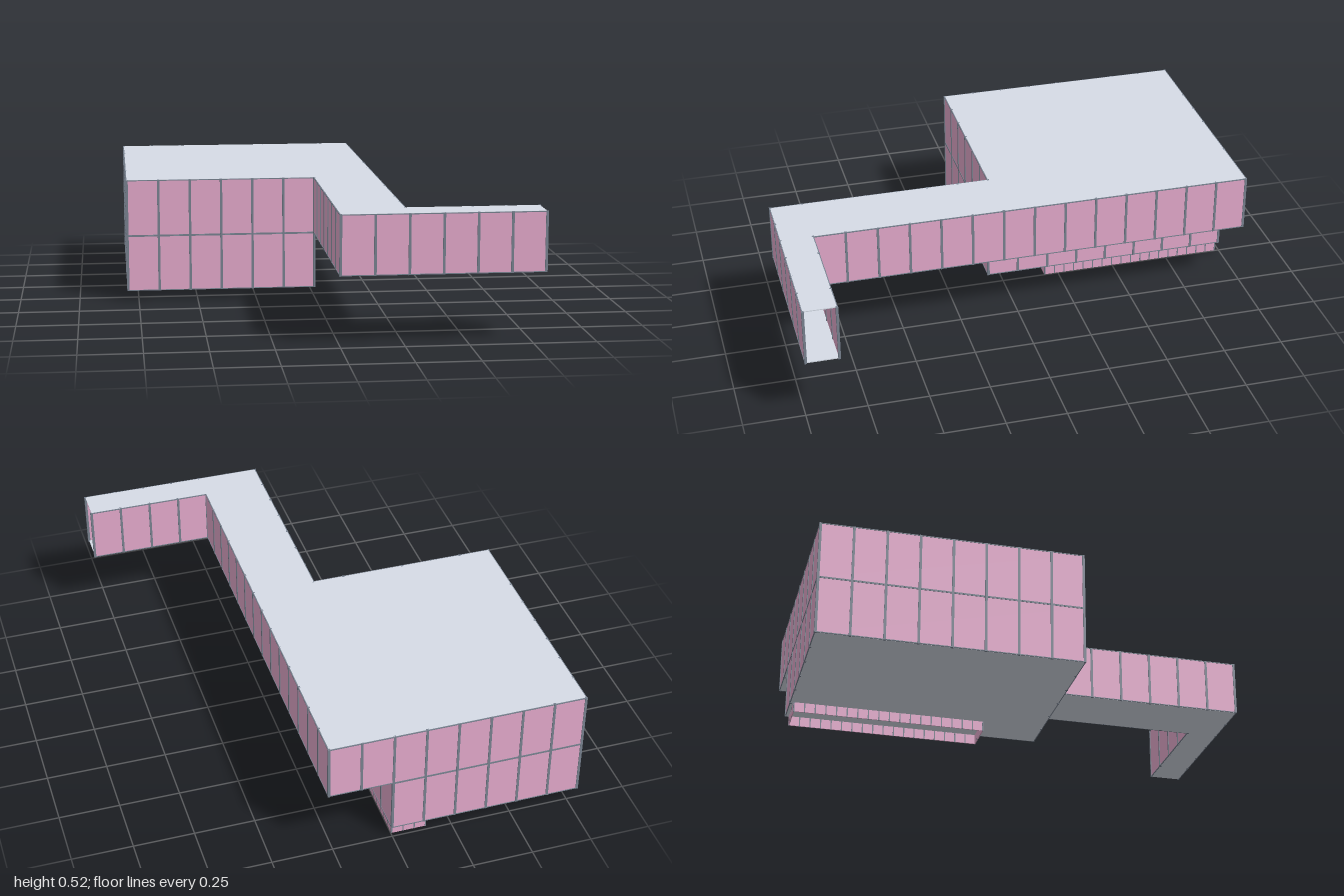
import * as THREE from 'three';

const S = 0.1324; // width of one wall panel
const BASE = 0.042, MID = 0.279, TOP = 0.517;

const mat = (name, color) => {
  const m = new THREE.MeshStandardMaterial({ color });
  m.name = name;
  return m;
};

export function createModel() {
  const pink = mat('pink panel', 0xebafd2);
  const slate = mat('slate frame', 0x7a8492);
  const grey = mat('grey slab', 0xd6dce7);
  const model = new THREE.Group();
  model.name = 'building';

  const box = (parent, name, material, size, pos) => {
    const mesh = new THREE.Mesh(new THREE.BoxGeometry(...size), material);
    mesh.name = name;
    mesh.position.set(...pos);
    parent.add(mesh);
  };

  // Straight wall of n panels between two plan points, with mullions and optional rails
  function wall(name, [x1, z1], [x2, z2], y0, y1, n, frame, rail) {
    const g = new THREE.Group();
    g.name = name;
    const len = Math.hypot(x2 - x1, z2 - z1), h = y1 - y0;
    box(g, 'panels', pink, [len, h - 0.001, 0.004], [0, h / 2, 0]);
    for (let i = 0; i <= n; i++) {
      box(g, 'mullion', slate, [frame, h + 0.001, frame], [(i / n - 0.5) * len, h / 2, 0]);
    }
    if (rail) {
      for (const y of [rail / 2, h - rail / 2]) {
        box(g, 'rail', slate, [len, rail - 0.0005, frame * 0.8], [0, y, 0]);
      }
    }
    g.position.set((x1 + x2) / 2, y0, (z1 + z2) / 2);
    g.rotation.y = -Math.atan2(z2 - z1, x2 - x1);
    model.add(g);
  }

  // Flat plate following a plan outline
  function slab(name, pts, yTop) {
    const shape = new THREE.Shape(pts.map(([x, z]) => new THREE.Vector2(x, z)));
    const geo = new THREE.ExtrudeGeometry(shape, { depth: 0.004, bevelEnabled: false });
    const mesh = new THREE.Mesh(geo.rotateX(Math.PI / 2), grey);
    mesh.name = name;
    mesh.position.y = yTop;
    model.add(mesh);
  }

  // Plan corners in panel units
  const plan = (list) => list.map(([x, z]) => [x * S, z * S]);
  const upper = plan([[-6, -7.5], [2, -7.5], [2, 6.5], [6, 6.5], [6, 7.5], [0, 7.5], [0, 0.5], [-6, 0.5]]);
  const lower = plan([[-6, -7.5], [0, -7.5], [0, 0.5], [-6, 0.5]]);

  function storey(name, pts, y0, y1, openEdge) {
    pts.forEach((a, i) => {
      if (i === openEdge) return;
      const b = pts[(i + 1) % pts.length];
      const n = Math.round(Math.hypot(b[0] - a[0], b[1] - a[1]) / S);
      wall(name, a, b, y0, y1, n, 0.01, 0.004);
    });
  }

  // Upper storey, its long wing open at the far end
  storey('upperWall', upper, MID, TOP, 3);
  slab('upperFloor', upper, MID + 0.004);

  // Roof of square tiles: main block, corridor and end wing
  const roof = new THREE.Group();
  roof.name = 'roof';
  for (const [x0, x1, z0, z1] of [[-6, 2, -7.5, 0.5], [0, 2, 0.5, 7.5], [2, 6, 6.5, 7.5]]) {
    for (let x = x0; x < x1; x++) {
      for (let z = z0; z < z1; z++) {
        box(roof, 'roofTile', grey, [S, 0.004, S], [(x + 0.5) * S, TOP - 0.0015, (z + 0.5) * S]);
      }
    }
  }
  model.add(roof);

  // Lower storey
  storey('lowerWall', lower, BASE, MID, -1);
  slab('lowerFloor', lower, BASE + 0.004);

  // Narrow skirt ring beneath the lower floor
  const ring = [[-0.146, -0.98], [-0.003, -0.98], [-0.003, -0.19], [-0.146, -0.19]];
  ring.forEach((a, i) => {
    wall('skirtWall', a, ring[(i + 1) % 4], 0.0005, BASE, i % 2 ? 18 : 3, 0.005, 0);
  });

  return model;
}
